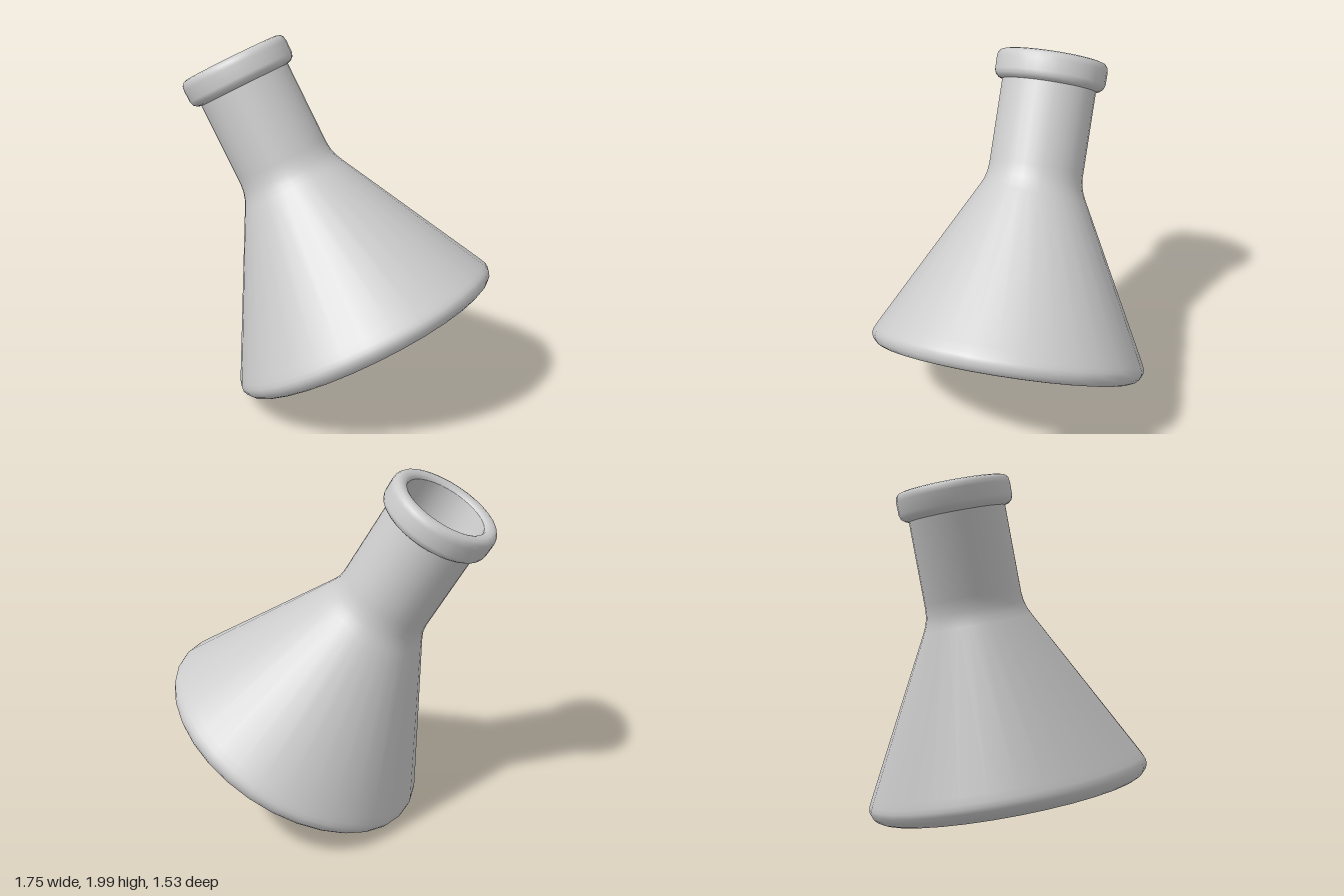
import * as THREE from 'three';

const SEGMENTS = 32;

// Revolves a list of [radius, height] points around the flask's own axis.
function revolve(name, profile, material) {
  const points = profile.map(([r, h]) => new THREE.Vector2(r, h));
  const mesh = new THREE.Mesh(new THREE.LatheGeometry(points, SEGMENTS), material);
  mesh.name = name;
  return mesh;
}

export function createModel() {
  const material = new THREE.MeshStandardMaterial({ color: 0xcccccc, side: THREE.DoubleSide });
  const flask = new THREE.Group();
  flask.name = 'flask';

  // Flat base, rounded foot, conical wall and straight neck
  flask.add(revolve('body', [
    [0, 0.19], [0.67, 0.19], [0.69, 0.19], [0.715, 0.194], [0.737, 0.205], [0.755, 0.225],
    [0.764, 0.25], [0.762, 0.272], [0.752, 0.295], [0.735, 0.328],
    [0.3, 1.145], [0.281, 1.185], [0.269, 1.225], [0.264, 1.27], [0.264, 1.3], [0.264, 1.75],
  ], material));

  // Thick rounded lip around the mouth
  flask.add(revolve('lip', [
    [0.262, 1.75], [0.285, 1.757], [0.303, 1.772], [0.311, 1.795],
    [0.312, 1.865], [0.308, 1.89], [0.295, 1.906], [0.275, 1.912],
    [0.253, 1.908], [0.238, 1.9], [0.232, 1.888],
  ], material));

  // Hollow inside: neck, cone and floor
  flask.add(revolve('innerWall', [
    [0.232, 1.888], [0.232, 1.3], [0.234, 1.26], [0.244, 1.21], [0.262, 1.165],
    [0.7, 0.33], [0.72, 0.28], [0.705, 0.235], [0.67, 0.22], [0, 0.22],
  ], material));

  // Lean the flask onto the edge of its base
  flask.rotation.z = Math.PI / 6;
  flask.position.set(0.333, 0.193, 0);

  const model = new THREE.Group();
  model.name = 'tiltedFlask';
  model.add(flask);
  return model;
}
